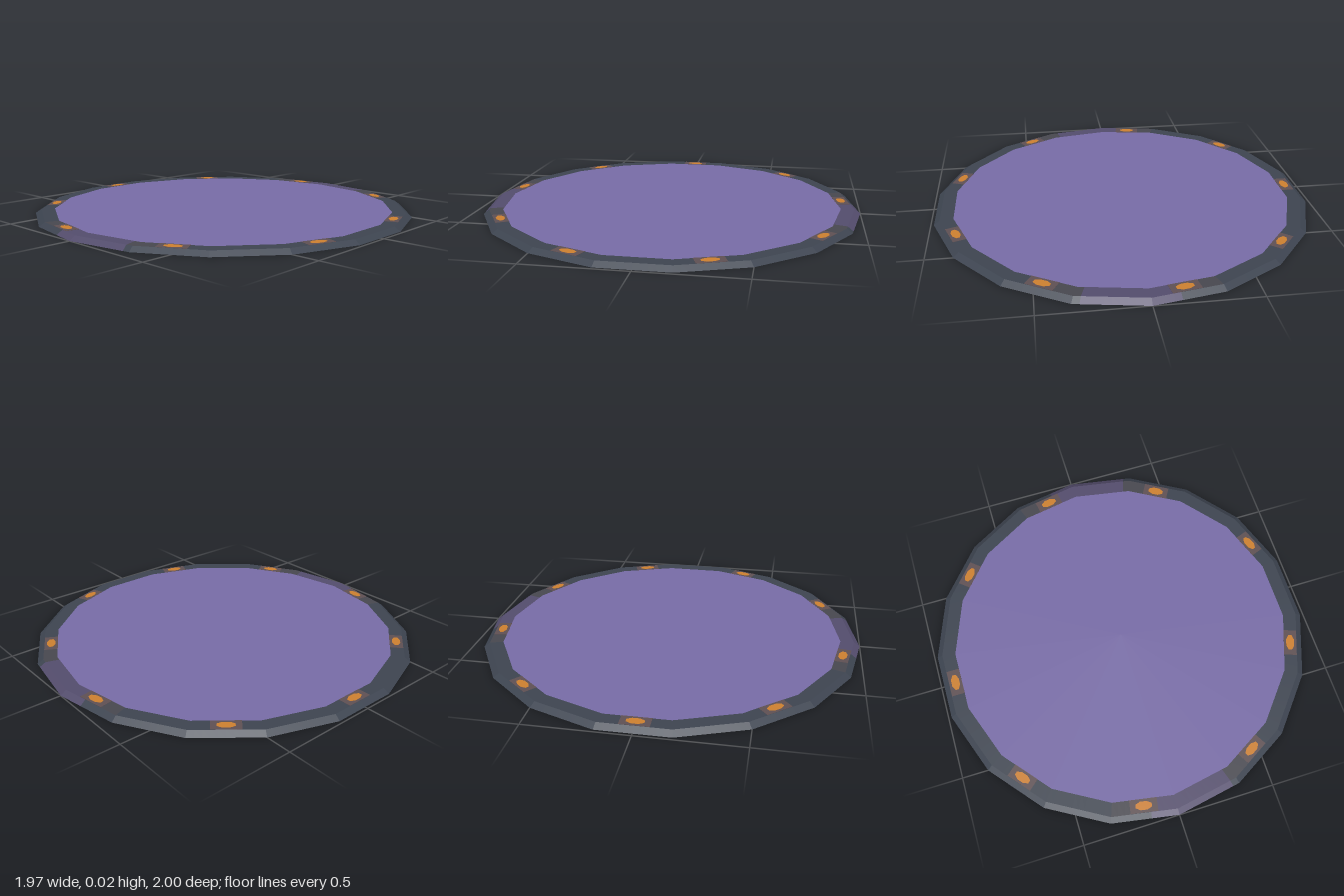
import * as THREE from 'three';

const SIDES = 18, TOP = 0.021, DEG = Math.PI / 180, STEP = 360 / SIDES;

const flat = (color) => new THREE.MeshStandardMaterial({ color, side: THREE.DoubleSide, flatShading: true });

// radius of the 18-sided outline at an angle (corners at 10, 30, 50 ... degrees)
function outline(r, deg) {
  const off = deg - Math.round(deg / STEP) * STEP;
  return r * Math.cos(STEP / 2 * DEG) / Math.cos(off * DEG);
}

// strip of the outline between two angles, from an inner to an outer edge
function band(from, to, rIn, yIn, rOut, yOut) {
  const pos = [], index = [];
  const n = Math.round((to - from) / 2);
  for (let i = 0; i <= n; i++) {
    const d = from + (to - from) * i / n;
    for (const [r, y] of [[rIn, yIn], [rOut, yOut]]) {
      const p = outline(r, d);
      pos.push(p * Math.cos(d * DEG), y, p * Math.sin(d * DEG));
    }
    if (i < n) {
      const a = i * 2;
      index.push(a, a + 2, a + 1, a + 1, a + 2, a + 3);
    }
  }
  const g = new THREE.BufferGeometry();
  g.setAttribute('position', new THREE.Float32BufferAttribute(pos, 3));
  g.setIndex(index);
  g.computeVertexNormals();
  return g;
}

export function createModel() {
  const model = new THREE.Group();
  model.name = 'disc';
  const purple = flat(0x776ba6), slate = flat(0x3d4450), dusk = flat(0x534c6c);
  const shade = flat(0x47474f), brown = flat(0x5f5053), orange = flat(0xcc8030);

  const add = (name, geometry, material, parent = model) => {
    const mesh = new THREE.Mesh(geometry, material);
    mesh.name = name;
    parent.add(mesh);
    return mesh;
  };

  // centre field
  const field = add('centreField', new THREE.CircleGeometry(0.9, SIDES), purple);
  field.rotation.set(-Math.PI / 2, 0, STEP / 2 * DEG);
  field.position.y = TOP;

  // rim border and sloping skirt, tinted at the front and back
  const sectors = [
    [-64, 64, slate, slate], [64, 72, shade, slate], [72, 98, dusk, dusk],
    [98, 104, slate, slate], [104, 110, shade, slate], [110, 250, slate, slate],
    [250, 256, shade, slate], [256, 262, slate, slate], [262, 288, dusk, dusk],
    [288, 296, shade, slate],
  ];
  for (const [from, to, border, skirt] of sectors) {
    add('rimBorder', band(from, to, 0.9, TOP, 0.97, TOP), border);
    add('rimSkirt', band(from, to, 0.97, TOP, 1, 0), skirt);
  }

  // nine lamps with a dim surround, set through the rim
  const surround = new THREE.BoxGeometry(0.068, 0.002, 0.14);
  const lampShape = new THREE.CylinderGeometry(1, 1, 0.004, 8);
  lampShape.rotateY(Math.PI / 8);
  lampShape.scale(0.023, 1, 0.045);
  for (let i = 0; i < 9; i++) {
    const a = (20 + 40 * i) * DEG;
    const lamp = new THREE.Group();
    lamp.name = 'rimLamp';
    lamp.position.set(0.92 * Math.cos(a), TOP, 0.92 * Math.sin(a));
    lamp.rotation.y = -a;
    add('lampSurround', surround, brown, lamp);
    add('lampGlow', lampShape, orange, lamp);
    model.add(lamp);
  }
  return model;
}
